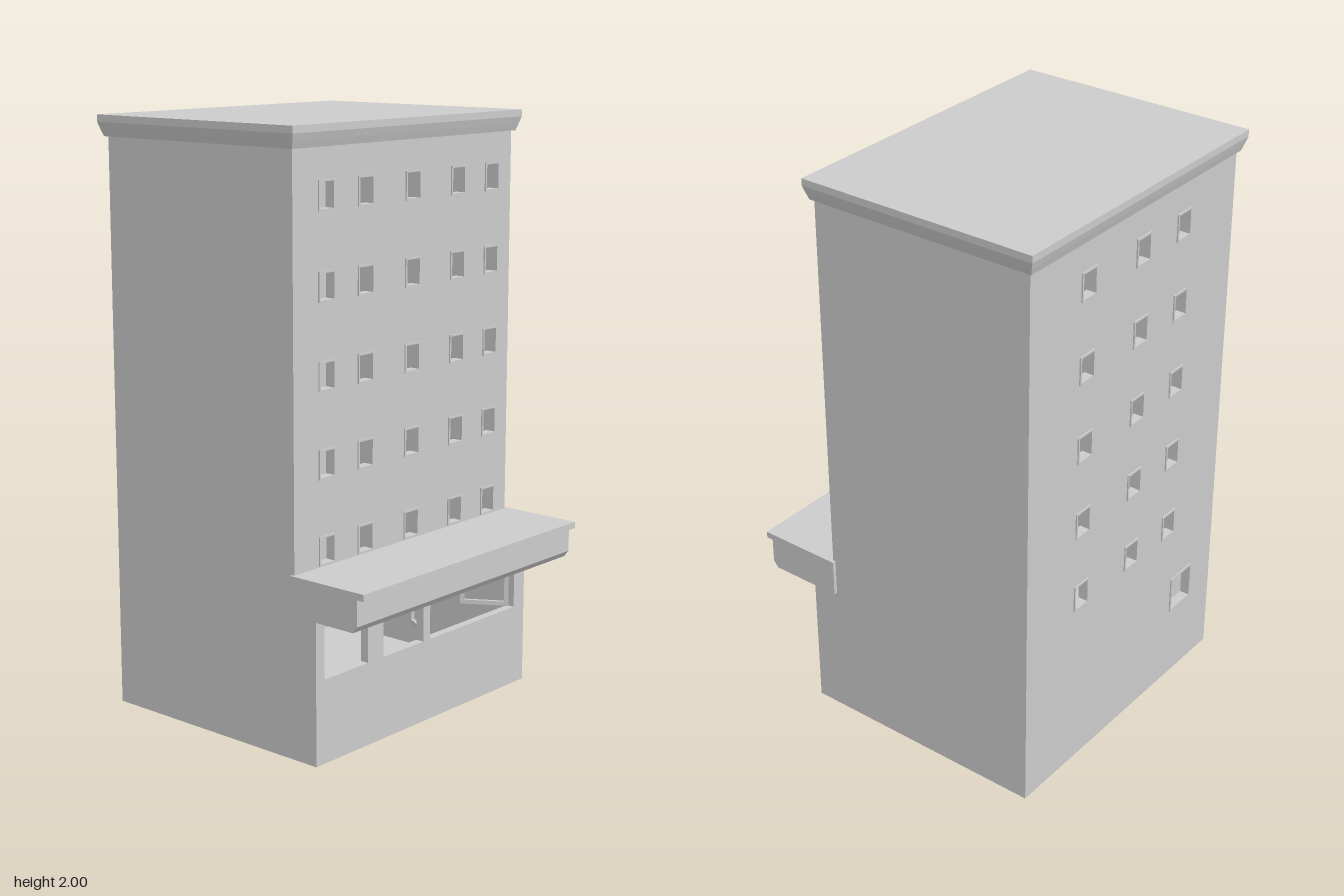
import * as THREE from 'three';

const T = 0.03; // wall thickness
const HALF_Z = 0.545, BACK_X = -0.54, FRONT_X = 0.27, SHOP_X = 0.36;
const ROOF_Y = 1.93, CANOPY_Y = 0.48;

export function createModel() {
  const model = new THREE.Group();
  model.name = 'cornerBuilding';
  const mat = new THREE.MeshStandardMaterial({ color: 0xcccccc, flatShading: true });

  const add = (name, geo, x = 0, y = 0, z = 0) => {
    const mesh = new THREE.Mesh(geo, mat);
    mesh.name = name;
    mesh.position.set(x, y, z);
    model.add(mesh);
    return mesh;
  };
  const box = (name, x0, x1, y0, y1, z0, z1) =>
    add(name, new THREE.BoxGeometry(x1 - x0, y1 - y0, z1 - z0),
      (x0 + x1) / 2, (y0 + y1) / 2, (z0 + z1) / 2);

  const rect = (Type, [z0, z1, y0, y1]) => new Type([
    new THREE.Vector2(z0, y0), new THREE.Vector2(z1, y0),
    new THREE.Vector2(z1, y1), new THREE.Vector2(z0, y1)]);

  // Slab in the z-y plane with rectangular openings, running from outerX towards -x
  const slab = (name, outerX, depth, outline, openings) => {
    const shape = rect(THREE.Shape, outline);
    openings.forEach(o => shape.holes.push(rect(THREE.Path, o)));
    const geo = new THREE.ExtrudeGeometry(shape, { depth, bevelEnabled: false });
    geo.rotateY(-Math.PI / 2);
    return add(name, geo, outerX);
  };

  // Thin frame standing slightly proud of the wall
  const frame = (name, outerX, [z0, z1, y0, y1]) => {
    const b = 0.006;
    slab(name, outerX, 0.012, [z0 - b, z1 + b, y0 - b, y1 + b], [[z0, z1, y0, y1]]);
  };

  // Window grid: five storeys, five columns on the street side, three at the back
  const rows = [0.62, 0.9, 1.18, 1.46, 1.74];
  const grid = columns => rows.flatMap(y => columns.map(z => [z, z + 0.063, y, y + 0.084]));
  const streetWindows = grid([0.362, 0.177, -0.055, -0.288, -0.471]);
  const backWindows = grid([0.22, -0.003, -0.288]);
  backWindows.push([0.297, 0.41, 0.28, 0.405]);
  const shopWindows = [
    [0.297, 0.505, 0.28, 0.45],
    [0.015, 0.22, 0.28, 0.45],
    [-0.487, -0.02, 0.28, 0.47],
  ];

  const inner = HALF_Z - T;
  slab('streetWall', FRONT_X, T, [-inner, inner, CANOPY_Y, ROOF_Y], streetWindows);
  slab('backWall', BACK_X + T, T, [-inner, inner, 0, ROOF_Y], backWindows);
  slab('shopWall', SHOP_X, T, [-inner, inner, 0, CANOPY_Y], shopWindows);
  streetWindows.forEach(w => frame('streetWindowFrame', FRONT_X + 0.005, w));
  backWindows.forEach(w => frame('backWindowFrame', BACK_X + 0.007, w));

  // Blank end walls, stepped out at the shop floor
  const side = new THREE.Shape([
    [BACK_X, 0], [SHOP_X, 0], [SHOP_X, CANOPY_Y], [FRONT_X, CANOPY_Y],
    [FRONT_X, ROOF_Y], [BACK_X, ROOF_Y]].map(p => new THREE.Vector2(...p)));
  for (const z of [-HALF_Z, inner]) {
    add('endWall', new THREE.ExtrudeGeometry(side, { depth: T, bevelEnabled: false }), 0, 0, z);
  }
  box('groundFloor', BACK_X + T, SHOP_X - T, 0, T, -inner, inner);

  // Roof slab with a flared cornice
  const flare = [0.01, 0.018, 0.025, 0.025];
  const roof = new THREE.BoxGeometry(FRONT_X - BACK_X, 0.07, HALF_Z * 2, 1, 3, 1);
  const p = roof.attributes.position;
  for (let i = 0; i < p.count; i++) {
    const out = flare[Math.round((p.getY(i) + 0.035) / 0.07 * 3)];
    p.setX(i, p.getX(i) + Math.sign(p.getX(i)) * out);
    p.setZ(i, p.getZ(i) + Math.sign(p.getZ(i)) * out);
  }
  roof.computeVertexNormals();
  add('roofCornice', roof, (BACK_X + FRONT_X) / 2, 1.965);

  // Canopy over the shop: chamfered lower edge and overhanging lip
  const canopy = new THREE.Shape([
    [0.26, 0.48], [0.52, 0.48], [0.537, 0.502], [0.537, 0.588],
    [0.562, 0.588], [0.562, 0.61], [0.26, 0.61]].map(q => new THREE.Vector2(...q)));
  add('shopCanopy', new THREE.ExtrudeGeometry(canopy, { depth: 1.113, bevelEnabled: false }), 0, 0, -0.558);

  // Shop casements standing open inwards at both ends of the wide window
  for (const [hinge, dir] of [[-0.025, -1], [-0.482, 1]]) {
    const leaf = new THREE.Shape([
      [0, 0.28], [0.17, 0.28], [0.17, 0.455], [0, 0.455]].map(q => new THREE.Vector2(...q)));
    leaf.holes.push(new THREE.Path([
      [0.015, 0.295], [0.155, 0.295], [0.155, 0.44], [0.015, 0.44]].map(q => new THREE.Vector2(...q))));
    const mesh = add('openCasement', new THREE.ExtrudeGeometry(leaf, { depth: 0.012, bevelEnabled: false }),
      SHOP_X - 0.02, 0, hinge);
    mesh.rotation.y = Math.PI + dir * 0.55;
  }
  // Shop fittings along the back of the room
  for (const [z0, z1, h] of [[0.39, 0.5, 0.4], [0.31, 0.39, 0.45], [0.055, 0.205, 0.4], [-0.31, -0.2, 0.4]]) {
    box('shopCabinet', BACK_X + T + 0.02, BACK_X + 0.15, T, h, z0, z1);
  }
  return model;
}
